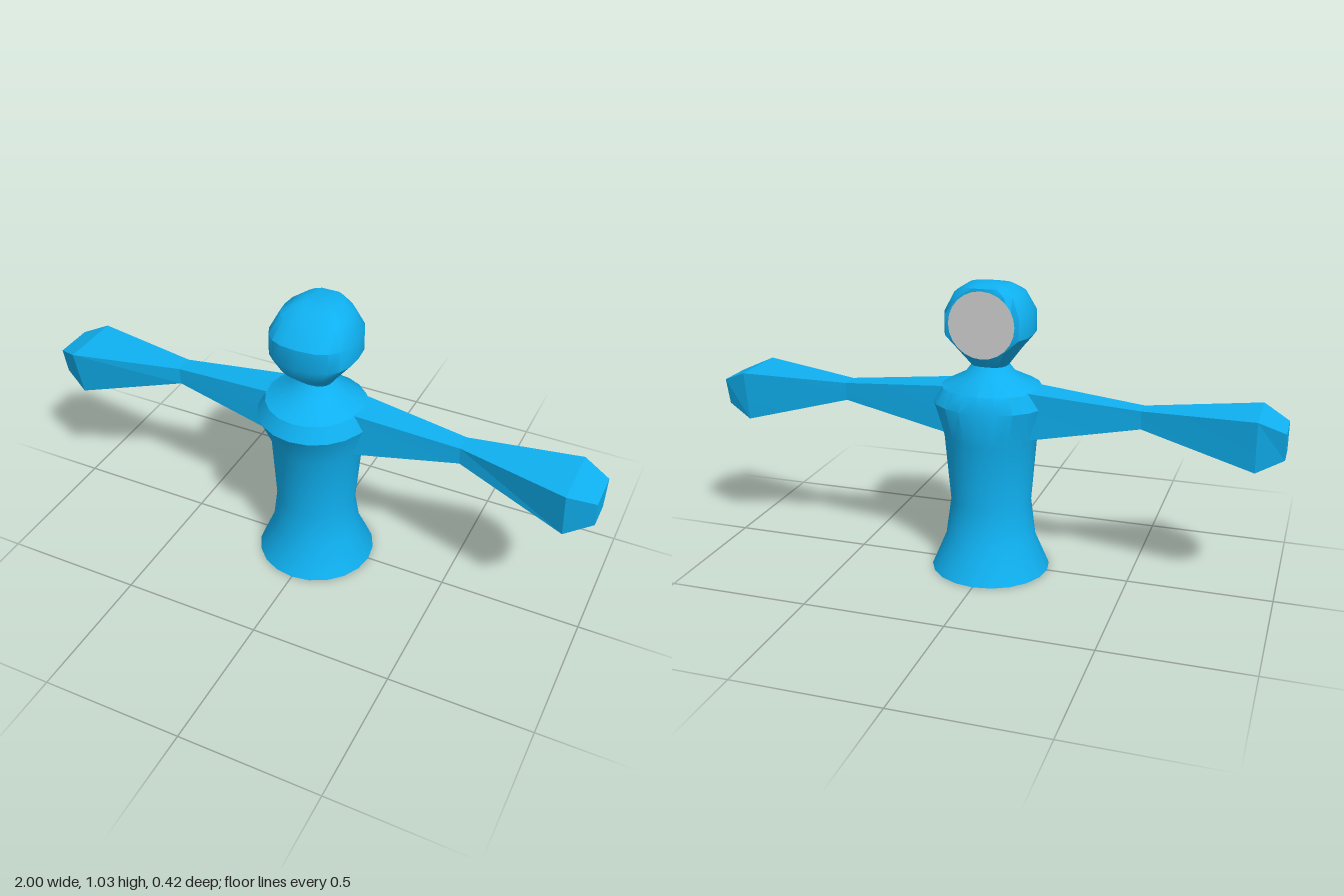
import * as THREE from 'three';
import { toCreasedNormals } from 'three/addons/utils/BufferGeometryUtils.js';

// Skin a stack of closed rings (each an array of [x, y, z]) and cap both ends
function loft(rings, crease) {
  const n = rings[0].length, pos = [], index = [];
  rings.forEach((ring) => ring.forEach((p) => pos.push(...p)));
  for (let r = 0; r < rings.length - 1; r++) {
    for (let i = 0; i < n; i++) {
      const a = r * n + i, b = r * n + (i + 1) % n;
      index.push(a, b, b + n, a, b + n, a + n);
    }
  }
  const last = (rings.length - 1) * n;
  for (let i = 1; i < n - 1; i++) {
    index.push(0, i + 1, i, last, last + i, last + i + 1);
  }
  const geo = new THREE.BufferGeometry();
  geo.setAttribute('position', new THREE.Float32BufferAttribute(pos, 3));
  geo.setIndex(index);
  return toCreasedNormals(geo, crease);
}

// Horizontal ring: half width, front depth, back depth, squareness, back limit
function ring([y, rx, front, back], power = 2, limit = -1) {
  const sides = 20, pts = [];
  const bend = (v) => Math.sign(v) * Math.pow(Math.abs(v), 2 / power);
  for (let i = 0; i < sides; i++) {
    const a = (i / sides) * Math.PI * 2;
    const s = bend(Math.sin(a)), c = bend(Math.cos(a));
    pts.push([rx * s, y, Math.max(limit, c * (c > 0 ? front : back))]);
  }
  return pts;
}

export function createModel() {
  const model = new THREE.Group();
  const blue = new THREE.MeshStandardMaterial({ color: 0x0fb0f0 });
  const grey = new THREE.MeshStandardMaterial({ color: 0xcccccc, side: THREE.DoubleSide });
  const add = (name, geo, mat = blue) => {
    const mesh = new THREE.Mesh(geo, mat);
    mesh.name = name;
    model.add(mesh);
    return mesh;
  };

  // Torso with flared base, shoulders and neck
  const torso = [
    [0, 0.21, 0.21, 0.21],
    [0.12, 0.16, 0.15, 0.15],
    [0.25, 0.143, 0.145, 0.12],
    [0.49, 0.163, 0.15, 0.15],
    [0.615, 0.203, 0.212, 0.17],
    [0.67, 0.175, 0.185, 0.15],
    [0.715, 0.09, 0.09, 0.09],
    [0.75, 0.064, 0.06, 0.06],
  ];
  add('torso', loft(torso.map((r) => ring(r)), 0.6));

  // Boxy rounded head, cut flat at the back
  const head = [
    [0.75, 0.064, 0.06, 0.06],
    [0.812, 0.11, 0.13, 0.115],
    [0.86, 0.15, 0.148, 0.15],
    [0.935, 0.15, 0.148, 0.15],
    [1.0, 0.117, 0.1, 0.12],
    [1.027, 0.075, 0.05, 0.11],
    [1.035, 0.04, 0.0, 0.07],
  ];
  add('head', loft(head.map((r) => ring(r, 2.6, -0.104)), 0.6));

  // Round plate on the back of the head
  const plate = add('headPlate', new THREE.CircleGeometry(0.115, 24), grey);
  plate.rotation.y = Math.PI;
  plate.position.set(0, 0.905, -0.108);

  // Four-sided arms: x, bottom y, top y, bottom z back/front, top z back/front
  const arm = [
    [0.13, 0.5, 0.675, -0.06, 0.055, -0.07, 0.06],
    [0.53, 0.575, 0.64, -0.03, 0.025, -0.037, 0.03],
    [0.91, 0.475, 0.655, -0.06, 0.1, -0.085, 0.138],
    [1.0, 0.52, 0.617, -0.035, 0.065, -0.058, 0.083],
  ];
  for (const side of [1, -1]) {
    const sections = arm.map(([x, y0, y1, b0, f0, b1, f1]) => {
      const pts = [[x * side, y0, b0], [x * side, y1, b1], [x * side, y1, f1], [x * side, y0, f0]];
      return side > 0 ? pts : pts.reverse();
    });
    add(side > 0 ? 'leftArm' : 'rightArm', loft(sections, 0.1));
  }
  return model;
}
